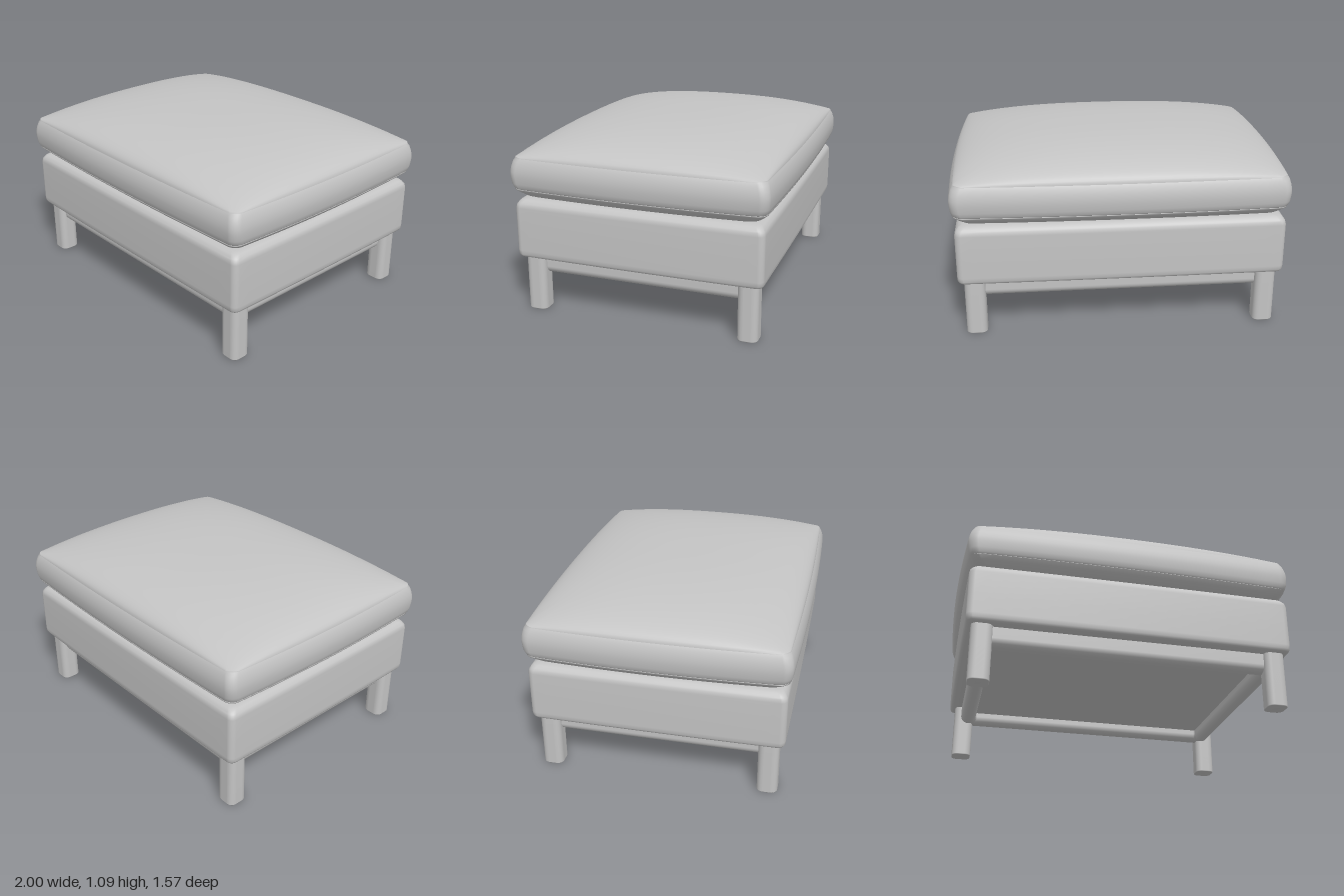
import * as THREE from 'three';

// Outline of a rounded rectangle, anticlockwise seen from above, sides bowed by `bow`
function ring(hx, hz, r, bow) {
  const base = [];
  const side = 20, arc = 6;
  r = Math.min(r, hx, hz);
  const corners = [[1, -1], [-1, -1], [-1, 1], [1, 1]];
  corners.forEach(([sx, sz], k) => {
    for (let i = 0; i <= arc; i++) {
      const t = (k + i / arc) * Math.PI / 2;
      base.push([sx * (hx - r) + r * Math.cos(t), sz * (hz - r) - r * Math.sin(t)]);
    }
    const [ax, az] = base[base.length - 1];
    const [nx, nz] = corners[(k + 1) % 4];
    const t = (k + 1) * Math.PI / 2;
    const bx = nx * (hx - r) + r * Math.cos(t), bz = nz * (hz - r) - r * Math.sin(t);
    for (let i = 1; i < side; i++) {
      base.push([ax + (bx - ax) * i / side, az + (bz - az) * i / side]);
    }
  });
  return base.map(([x, z]) => {
    const u = hx ? x / hx : 0, v = hz ? z / hz : 0;
    return { x: x * (1 + bow * (1 - v * v)), z: z * (1 + bow * (1 - u * u)), u, v };
  });
}

// Skin stacked outlines from bottom to top; y may be a number or a function of the outline point.
// A repeated row makes a hard edge.
function loft(rows, bow = 0) {
  const pos = [], index = [];
  let n = 0;
  for (const [hx, hz, y, r] of rows) {
    const pts = ring(hx, hz, r, bow);
    n = pts.length;
    for (const p of pts) pos.push(p.x, typeof y === 'function' ? y(p) : y, p.z);
  }
  for (let i = 0; i < rows.length - 1; i++) {
    for (let j = 0; j < n; j++) {
      const k = (j + 1) % n;
      const a = i * n + j, b = i * n + k, c = b + n, d = a + n;
      index.push(a, b, c, a, c, d);
    }
  }
  const geo = new THREE.BufferGeometry();
  geo.setAttribute('position', new THREE.Float32BufferAttribute(pos, 3));
  geo.setIndex(index);
  geo.computeVertexNormals();
  return geo;
}

// Rows given as [inset, y] from a full half-size
const insetRows = (hx, hz, r, list) => list.map(([d, y]) => [hx - d, hz - d, y, r]);

export function createModel() {
  const group = new THREE.Group();
  const grey = new THREE.MeshStandardMaterial({ color: 0xc4c4c4 });
  grey.name = 'grey upholstery';
  const add = (name, geo) => {
    const mesh = new THREE.Mesh(geo, grey);
    mesh.name = name;
    group.add(mesh);
    return mesh;
  };

  // Seat cushion: rounded boxing between two creased seams, then a domed crown
  const cushion = [[0, 0, 0.685, 0], ...insetRows(0.972, 0.765, 0.05, [
    [0.25, 0.685], [0.1, 0.691], [0.065, 0.707], [0.038, 0.73], [0.017, 0.75],
    [0.02, 0.755], [0.02, 0.755], [0.012, 0.764], [0.004, 0.79], [0, 0.83], [0, 0.86],
    [0.005, 0.89], [0.014, 0.92], [0.024, 0.937],
  ])];
  const swell = (t) => Math.sqrt(Math.max(0, 1 - Math.pow(Math.abs(t), 2.5)));
  for (let i = 0; i <= 24; i++) {
    const s = Math.cos((i / 24) * Math.PI / 2);
    const crown = (p) => 0.937 + 0.153 * swell(p.u * s) * swell(p.v * s);
    cushion.push([0.948 * s, 0.741 * s, crown, 0.05 * s]);
  }
  add('seatCushion', loft(cushion, 0.029));

  // Upholstered base box with softened edges
  add('baseBox', loft([[0, 0, 0.335, 0], ...insetRows(0.957, 0.745, 0.035, [
    [0.06, 0.335], [0.025, 0.335], [0.01, 0.341], [0.002, 0.355], [0, 0.38],
    [0, 0.5], [0, 0.64], [0.005, 0.662], [0.011, 0.668], [0.014, 0.675],
    [0.026, 0.687], [0.045, 0.694], [0.08, 0.697],
  ]), [0, 0, 0.697, 0]], 0.006));

  // Mitred rail frame with rounded underside
  const rail = [];
  for (let i = 0; i <= 14; i++) {
    const t = Math.PI * (1 - i / 14);
    rail.push([0.048 - 0.048 * Math.cos(t), 0.268 - 0.046 * Math.sin(t)]);
  }
  add('railFrame', loft(insetRows(0.882, 0.675, 0.012, [[0.096, 0.34], ...rail, [0, 0.34]])));

  // Flat panel closing the underside inside the rails
  const panel = add('bottomPanel', new THREE.BoxGeometry(1.6, 0.04, 1.18));
  panel.position.y = 0.315;

  // Four legs with well-rounded corners
  const leg = loft([
    [0, 0, 0, 0], [0.058, 0.057, 0, 0.034], [0.061, 0.06, 0.005, 0.036],
    [0.061, 0.06, 0.345, 0.036],
  ]);
  for (const x of [-1, 1]) {
    for (const z of [-1, 1]) {
      const name = (z > 0 ? 'front' : 'back') + (x > 0 ? 'Left' : 'Right') + 'Leg';
      add(name, leg).position.set(x * 0.863, 0, z * 0.65);
    }
  }
  return group;
}
